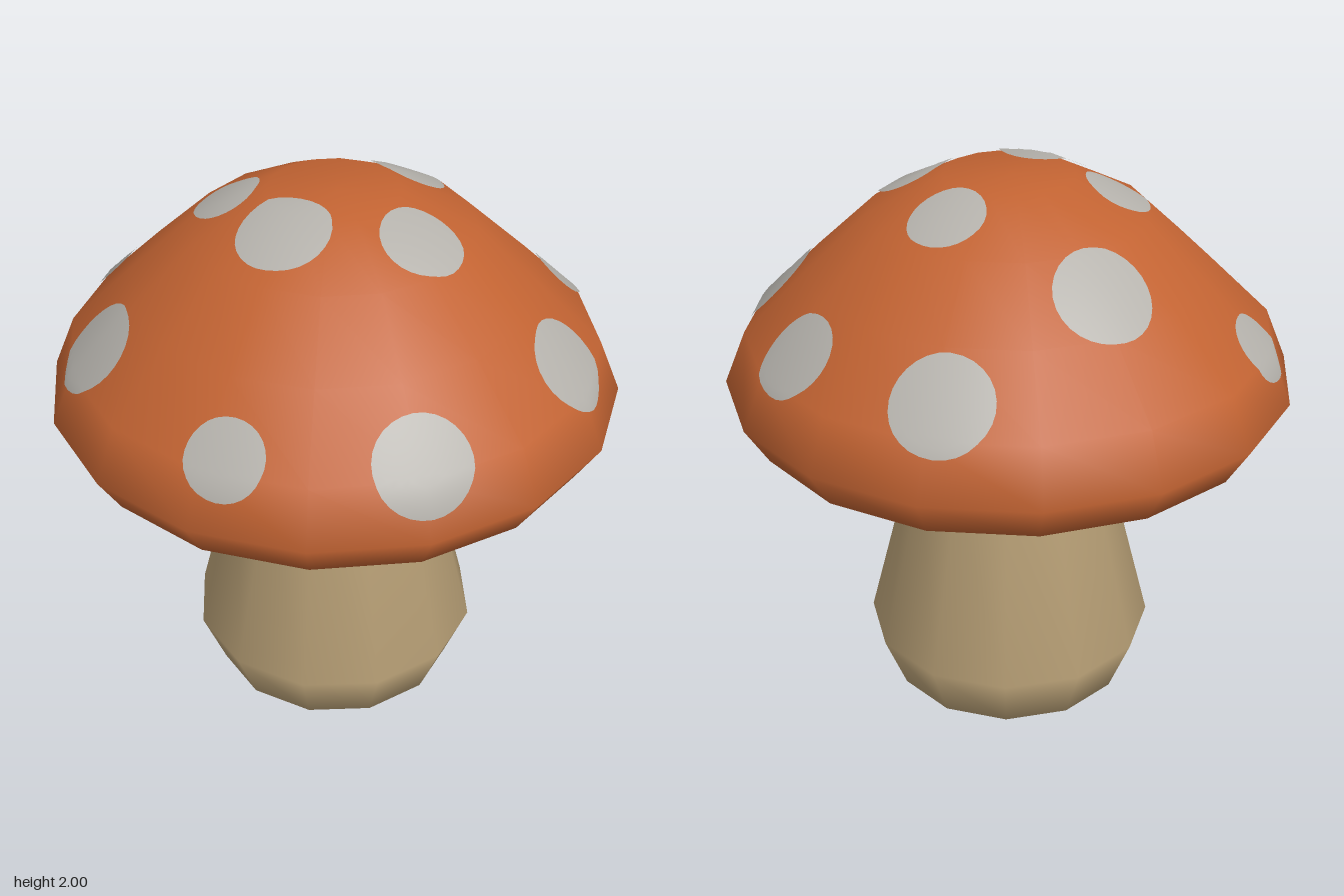
import * as THREE from 'three';

const flat = (name, hex) => {
  const m = new THREE.MeshStandardMaterial({ color: hex });
  m.name = name;
  return m;
};

// Low-sided turned form with smooth normals; profile runs bottom to top as [radius, height]
function turned(name, profile, sides, material) {
  const geometry = new THREE.LatheGeometry(profile.map(([r, y]) => new THREE.Vector2(r, y)), sides);
  const mesh = new THREE.Mesh(geometry, material);
  mesh.name = name;
  return mesh;
}

// Round patch draped over the cap, centred at (x, z) as seen from above
function capSpot(cap, x, z, radius, material) {
  const ray = new THREE.Raycaster();
  const cast = (from, dir) => {
    ray.set(from, dir);
    return ray.intersectObject(cap)[0];
  };
  const centre = cast(new THREE.Vector3(x, 3, z), new THREE.Vector3(0, -1, 0));
  const n = centre.normal.clone().normalize();
  const u = new THREE.Vector3(0, 1, 0).cross(n).normalize();
  const v = n.clone().cross(u);
  const inward = n.clone().negate();
  const rings = 5, steps = 28;
  const positions = [], normals = [], index = [];
  for (let i = 0; i <= rings; i++) {
    for (let j = 0; j < steps; j++) {
      const a = (j / steps) * Math.PI * 2, r = (radius * i) / rings;
      const start = centre.point.clone().addScaledVector(n, 0.4)
        .addScaledVector(u, r * Math.cos(a)).addScaledVector(v, r * Math.sin(a));
      const hit = cast(start, inward);
      const hn = hit.normal.clone().normalize();
      const p = hit.point.clone().addScaledVector(hn, 0.007);
      positions.push(p.x, p.y, p.z);
      normals.push(hn.x, hn.y, hn.z);
      if (i === 0) continue;
      const k = (j + 1) % steps, a0 = (i - 1) * steps, b0 = i * steps;
      index.push(a0 + j, b0 + j, b0 + k);
      if (i > 1) index.push(a0 + j, b0 + k, a0 + k);
    }
  }
  const g = new THREE.BufferGeometry();
  g.setAttribute('position', new THREE.Float32BufferAttribute(positions, 3));
  g.setAttribute('normal', new THREE.Float32BufferAttribute(normals, 3));
  g.setIndex(index);
  const mesh = new THREE.Mesh(g, material);
  mesh.name = 'spot';
  return mesh;
}

export function createModel() {
  const orange = flat('capOrange', 0xc26332);
  const tan = flat('stemTan', 0xb59d74);
  const grey = flat('spotGrey', 0xb5b2ac);
  const model = new THREE.Group();
  model.name = 'mushroom';

  // Bulbous stem, flaring out under the cap
  model.add(turned('stem', [
    [0, 0], [0.29, 0.005], [0.43, 0.09], [0.51, 0.29],
    [0.345, 0.94], [0.36, 1.02], [0.48, 1.125],
  ], 12, tan));

  // Pale underside around the stem
  model.add(turned('gills', [[0.3, 1.13], [0.5, 1.13], [0.68, 1.137]], 32, tan));

  // Domed cap with a turned-in rim and a flattened crown
  const cap = turned('cap', [
    [0.66, 1.138], [0.89, 1.15], [0.97, 1.28], [0.895, 1.46],
    [0.68, 1.67], [0.47, 1.865], [0.22, 1.99], [0, 1.993],
  ], 16, orange);
  model.add(cap);

  // Spots: x, z, radius
  const spots = new THREE.Group();
  spots.name = 'spots';
  [
    [0.01, 0.86, 0.16], [0.62, 0.53, 0.165], [0.8, -0.07, 0.15], [0.55, -0.59, 0.165],
    [-0.02, -0.57, 0.165], [-0.6, -0.62, 0.125], [-0.81, -0.01, 0.165], [-0.55, 0.65, 0.13],
    [-0.31, -0.17, 0.12], [0.3, -0.14, 0.13], [-0.22, 0.17, 0.155], [0.19, 0.3, 0.14],
  ].forEach(([x, z, r]) => spots.add(capSpot(cap, x, z, r, grey)));
  model.add(spots);
  return model;
}
